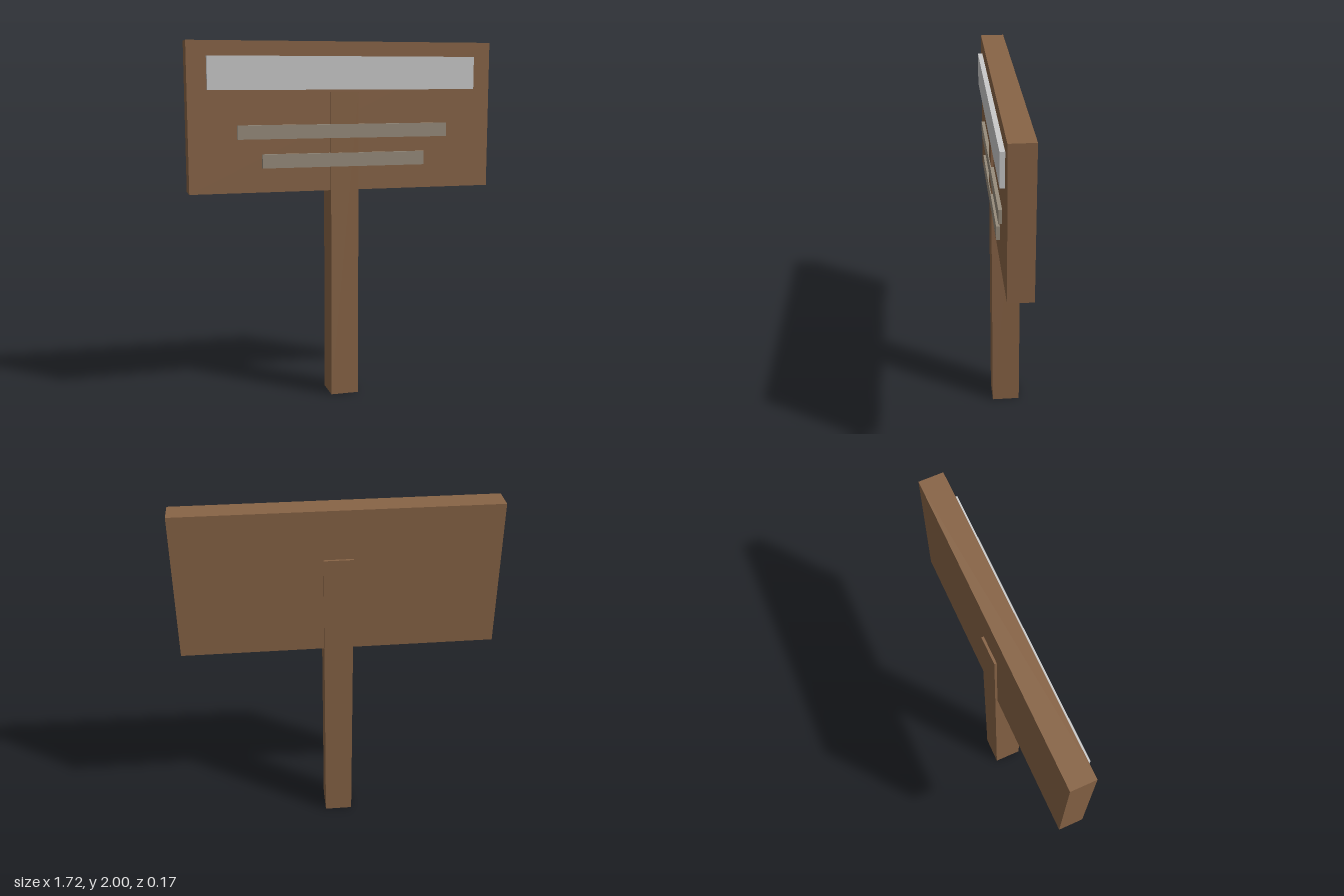
import * as THREE from 'three';

const wood = new THREE.MeshStandardMaterial({ name: 'brownWood', color: 0x886446 });
const pale = new THREE.MeshStandardMaterial({ name: 'paleGrey', color: 0xcacaca });
const taupe = new THREE.MeshStandardMaterial({ name: 'greyTaupe', color: 0x978c7c });

// Box centred on x, given its width and its y and z extents
function slab(name, material, width, [y0, y1], [z0, z1]) {
  const mesh = new THREE.Mesh(new THREE.BoxGeometry(width, y1 - y0, z1 - z0), material);
  mesh.name = name;
  mesh.position.set(0, (y0 + y1) / 2, (z0 + z1) / 2);
  return mesh;
}

export function createModel() {
  const sign = new THREE.Group();
  sign.name = 'signpost';

  const boardFront = 0.06;
  sign.add(
    // Square post, showing slightly on both faces of the board
    slab('post', wood, 0.158, [0, 1.727], [-0.086, 0.074]),
    slab('board', wood, 1.72, [1.185, 2], [-0.073, boardFront]),
    // Raised title panel and two narrower lines below it
    slab('titlePanel', pale, 1.51, [1.74, 1.92], [boardFront, 0.086]),
    slab('upperLine', taupe, 1.194, [1.476, 1.552], [boardFront, 0.079]),
    slab('lowerLine', taupe, 0.926, [1.318, 1.394], [boardFront, 0.079]),
  );
  return sign;
}
